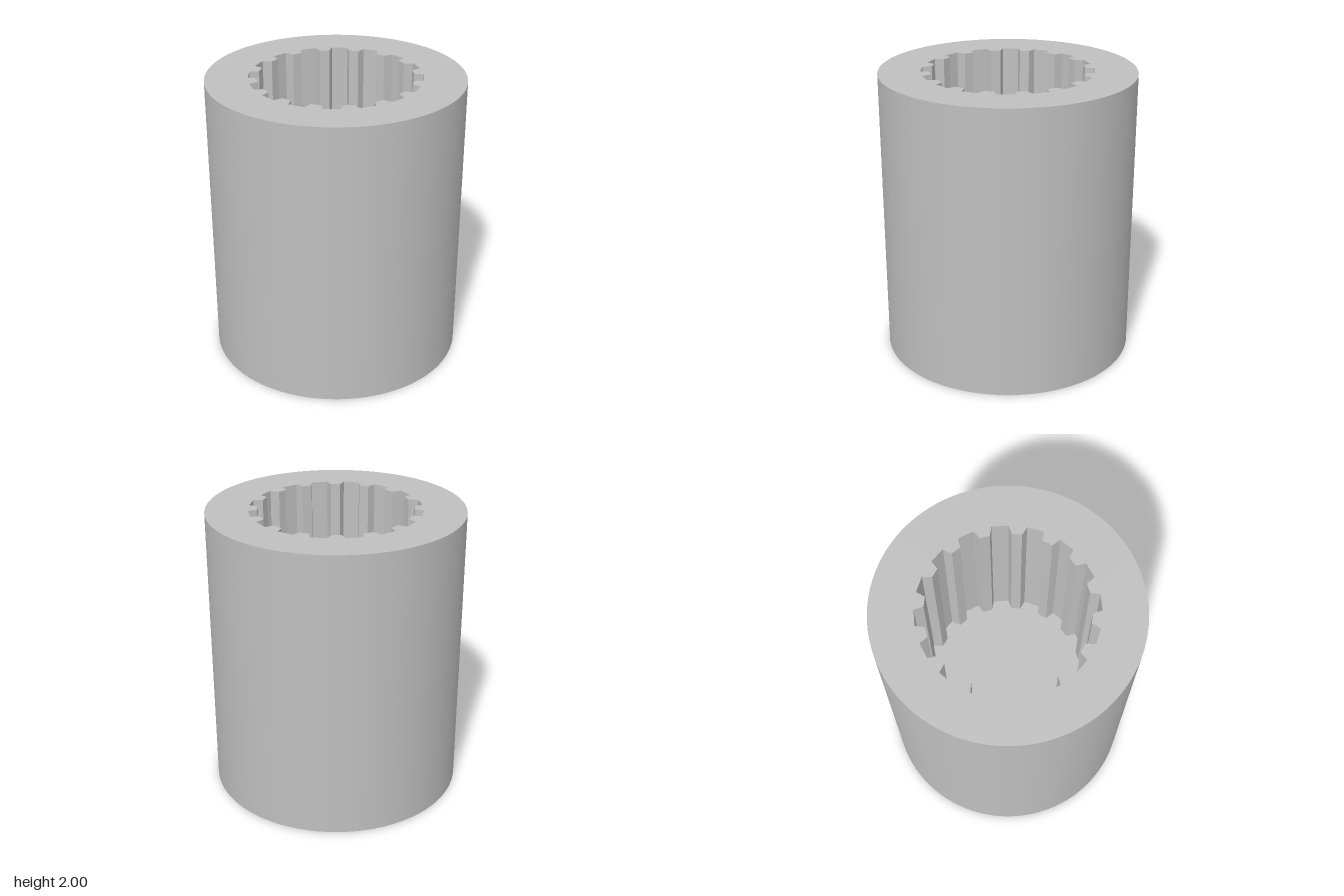
import * as THREE from 'three';

const HEIGHT = 2, RADIUS = 0.875;
const FLOOR = 0.8; // floor of the splined socket
const BORE_RADIUS = 0.17, BORE_DEPTH = 0.5; // blind hole in the underside
const NOTCHES = 16;

// Outline of the splined socket: trapezoid notches around a circle
function splineOutline() {
  const points = [];
  const corners = [[-7.6, 0.526], [-5.4, 0.587], [5.4, 0.587], [7.6, 0.526]];
  for (let i = 0; i < NOTCHES; i++) {
    for (const [degrees, r] of corners) {
      const a = THREE.MathUtils.degToRad(degrees + (i * 360) / NOTCHES);
      points.push(new THREE.Vector2(r * Math.sin(a), r * Math.cos(a)));
    }
  }
  return points;
}

// Flat upright walls facing the axis, one quad per side of the outline
function inwardWalls(outline, y0, y1) {
  const positions = [];
  outline.forEach((a, i) => {
    const b = outline[(i + 1) % outline.length];
    positions.push(b.x, y0, b.y, a.x, y0, a.y, a.x, y1, a.y);
    positions.push(b.x, y0, b.y, a.x, y1, a.y, b.x, y1, b.y);
  });
  const geometry = new THREE.BufferGeometry();
  geometry.setAttribute('position', new THREE.Float32BufferAttribute(positions, 3));
  geometry.computeVertexNormals();
  return geometry;
}

export function createModel() {
  const group = new THREE.Group();
  const steel = new THREE.MeshStandardMaterial({ color: 0xbfbfbf });
  steel.name = 'steel grey';

  const add = (name, geometry, y = 0) => {
    const mesh = new THREE.Mesh(geometry, steel);
    mesh.name = name;
    mesh.position.y = y;
    group.add(mesh);
  };

  // Round surfaces, each turned from one straight line so the edges stay sharp
  const turned = [
    ['outerWall', RADIUS, 0, RADIUS, HEIGHT],
    ['baseFace', BORE_RADIUS, 0, RADIUS, 0],
    ['boreWall', BORE_RADIUS, BORE_DEPTH, BORE_RADIUS, 0],
    ['boreEnd', 0, BORE_DEPTH, BORE_RADIUS, BORE_DEPTH],
  ];
  for (const [name, r0, y0, r1, y1] of turned) {
    const line = [new THREE.Vector2(r0, y0), new THREE.Vector2(r1, y1)];
    add(name, new THREE.LatheGeometry(line, 96));
  }

  // Top rim with the splined opening
  const outline = splineOutline();
  const rim = new THREE.Shape().absarc(0, 0, RADIUS, 0, Math.PI * 2);
  rim.holes.push(new THREE.Path(outline));
  add('topRim', new THREE.ShapeGeometry(rim, 48).rotateX(-Math.PI / 2), HEIGHT);

  // Socket walls and floor
  add('splineWalls', inwardWalls(outline, FLOOR, HEIGHT));
  const floor = new THREE.ShapeGeometry(new THREE.Shape(outline));
  add('socketFloor', floor.rotateX(-Math.PI / 2), FLOOR);

  return group;
}
